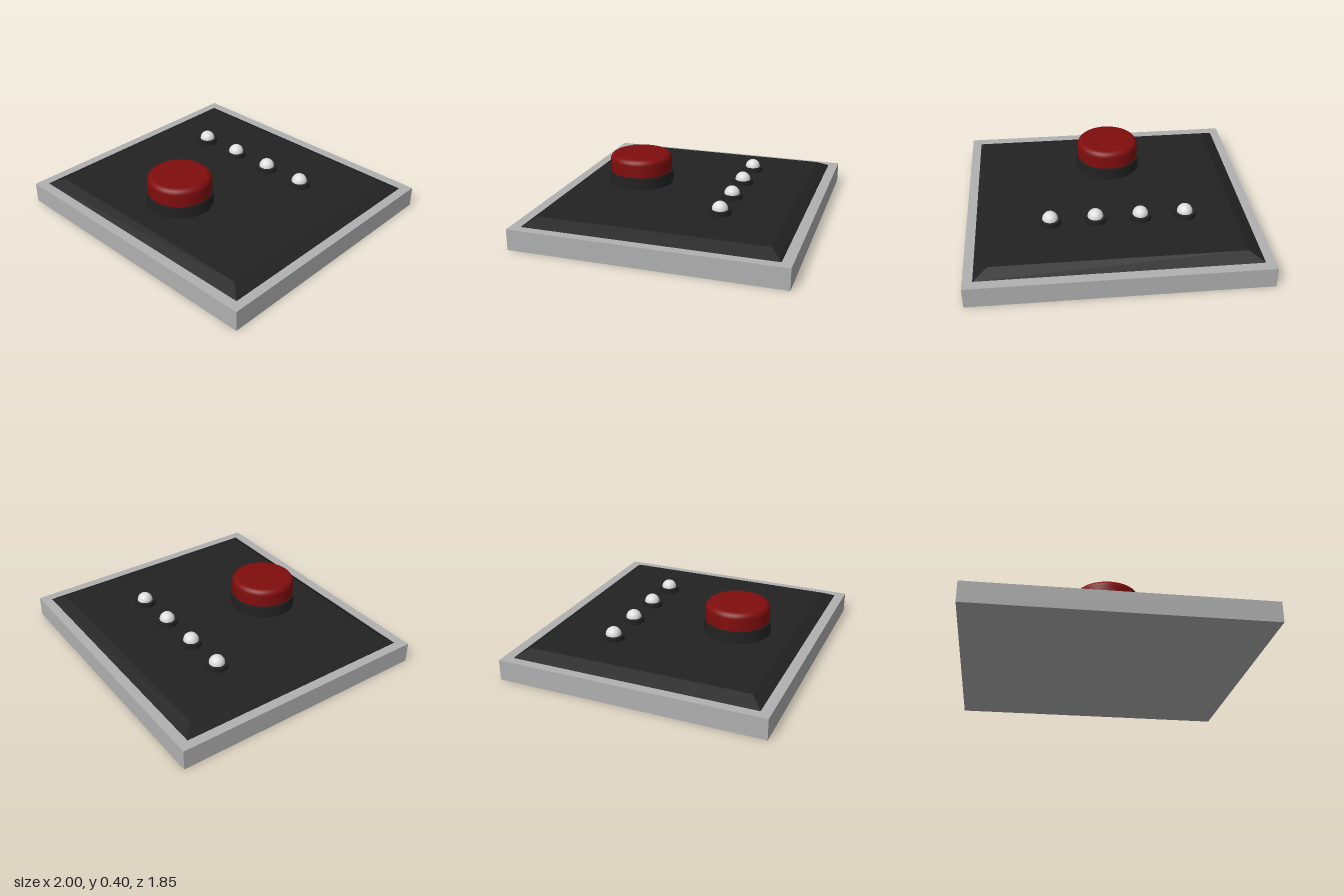
import * as THREE from 'three';

const flat = (name, color) => {
  const m = new THREE.MeshStandardMaterial({ color });
  m.name = name;
  return m;
};

// Box whose top is inset from its bottom, standing on y = 0
function bevelledSlab(bottomX, bottomZ, topX, topZ, height) {
  const geo = new THREE.BoxGeometry(bottomX * 2, height, bottomZ * 2);
  geo.translate(0, height / 2, 0);
  const p = geo.attributes.position;
  for (let i = 0; i < p.count; i++) {
    if (p.getY(i) > height / 2) {
      p.setX(i, Math.sign(p.getX(i)) * topX);
      p.setZ(i, Math.sign(p.getZ(i)) * topZ);
    }
  }
  const out = geo.toNonIndexed();
  out.computeVertexNormals();
  return out;
}

// Round cap with a filleted upper rim, standing on y = 0
function roundedCap(radius, height, fillet) {
  const pts = [new THREE.Vector2(radius, 0)];
  for (let i = 0; i <= 8; i++) {
    const a = (i / 8) * Math.PI / 2;
    pts.push(new THREE.Vector2(
      radius - fillet + fillet * Math.cos(a),
      height - fillet + fillet * Math.sin(a)));
  }
  pts.push(new THREE.Vector2(0, height));
  return new THREE.LatheGeometry(pts, 64);
}

export function createModel() {
  const model = new THREE.Group();
  model.name = 'buttonPanel';
  const grey = flat('casing grey', 0xb0b0b0);
  const black = flat('panel black', 0x222222);
  const red = flat('button red', 0x800d0d);
  const white = flat('lamp white', 0xdedede);

  const add = (parent, name, geo, mat, x, y, z) => {
    const mesh = new THREE.Mesh(geo, mat);
    mesh.name = name;
    mesh.position.set(x, y, z);
    parent.add(mesh);
  };

  // Casing and face plate
  add(model, 'casing', new THREE.BoxGeometry(2, 0.144, 1.85), grey, 0, 0.072, 0);
  add(model, 'facePlate', bevelledSlab(0.935, 0.855, 0.84, 0.775, 0.046), black, 0, 0.144, 0);

  // Large push button in its collar
  const button = new THREE.Group();
  button.name = 'pushButton';
  button.position.set(-0.035, 0.19, 0.39);
  add(button, 'buttonCollar', new THREE.CylinderGeometry(0.232, 0.232, 0.088, 64), black, 0, 0.044, 0);
  add(button, 'buttonCap', roundedCap(0.222, 0.126, 0.042), red, 0, 0.088, 0);
  model.add(button);

  // Row of four indicator lamps
  const collarGeo = new THREE.CylinderGeometry(0.075, 0.075, 0.032, 32);
  const bulbGeo = new THREE.SphereGeometry(0.054, 32, 12, 0, Math.PI * 2, 0, Math.PI / 2);
  for (let i = 0; i < 4; i++) {
    const lamp = new THREE.Group();
    lamp.name = `indicatorLamp${i + 1}`;
    lamp.position.set(-0.497 + i * 0.308, 0.19, -0.338);
    add(lamp, 'lampCollar', collarGeo, black, 0, 0.016, 0);
    add(lamp, 'lampBulb', bulbGeo, white, 0, 0.032, 0);
    model.add(lamp);
  }
  return model;
}
